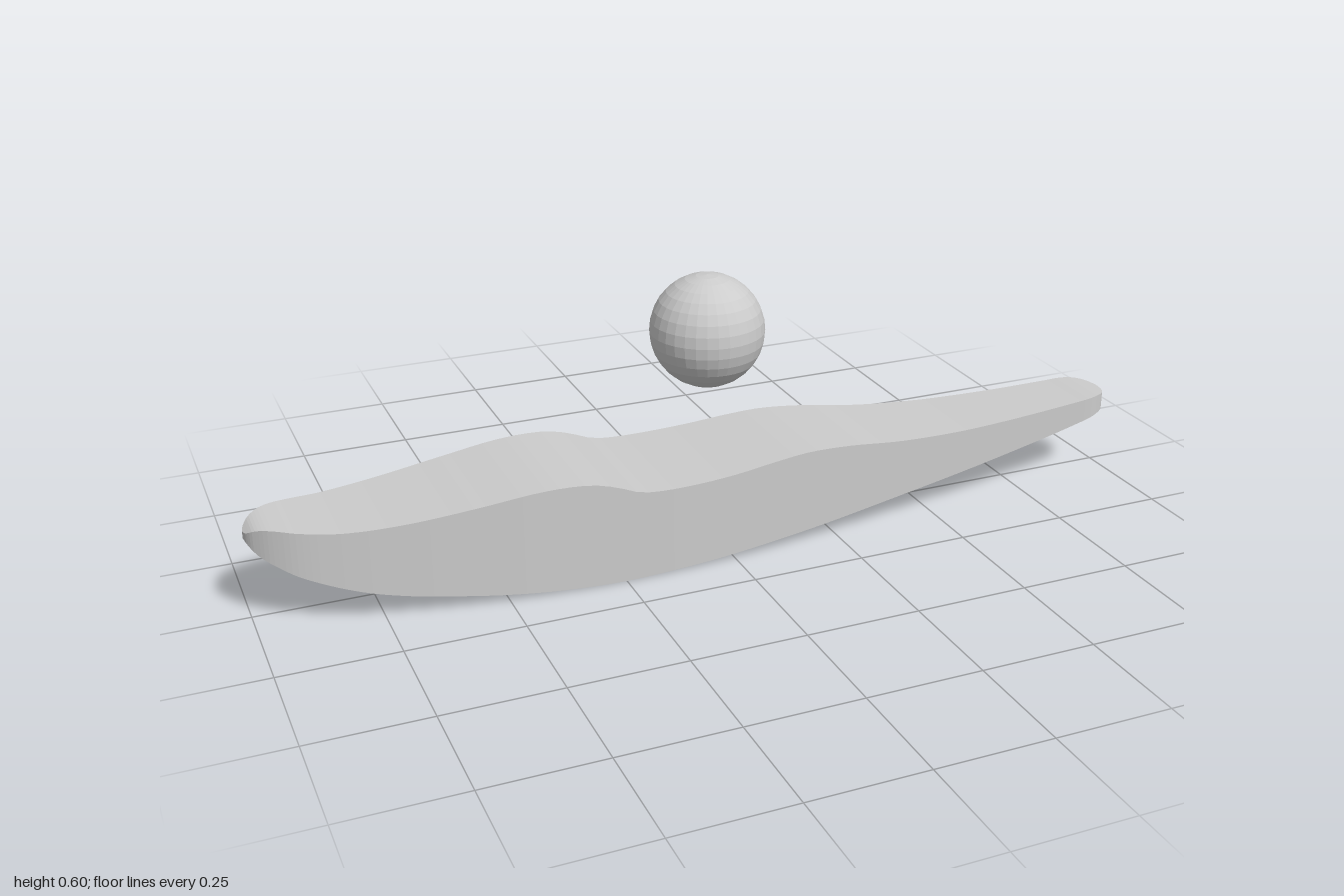
import * as THREE from 'three';

// Profiles along the length, as [x, value]
const deckHeight = [[-1, .193], [-.98, .207], [-.95, .212], [-.9, .207], [-.82, .201], [-.7, .206], [-.55, .222], [-.45, .234],
  [-.38, .237], [-.32, .233], [-.27, .22], [-.22, .2], [-.18, .194], [-.1, .193], [0, .198], [.1, .208], [.18, .213],
  [.28, .207], [.4, .192], [.5, .185], [.6, .182], [.75, .184], [.9, .19], [.96, .193], [1, .19]];
const keelHeight = [[-1, .178], [-.98, .155], [-.95, .135], [-.9, .108], [-.8, .07], [-.7, .046], [-.6, .03], [-.5, .016],
  [-.4, .006], [-.27, 0], [-.15, .003], [0, .012], [.2, .03], [.4, .055], [.6, .083], [.8, .115], [.9, .134], [1, .155]];
const halfWidth = [[-1, 0], [-.997, .015], [-.985, .034], [-.95, .062], [-.9, .085], [-.8, .108], [-.7, .123], [-.6, .134],
  [-.5, .142], [-.4, .147], [-.3, .15], [-.2, .151], [-.1, .15], [0, .146], [.2, .131], [.4, .114], [.6, .098], [.8, .081],
  [.9, .073], [.94, .069], [.97, .058], [.985, .046], [.996, .025], [1, 0]];

// Smooth cubic interpolation through a profile
function sample(points, x) {
  const last = points.length - 1;
  let i = 0;
  while (i < last - 1 && x > points[i + 1][0]) i++;
  const slope = (k) => {
    const a = points[Math.max(k - 1, 0)], b = points[Math.min(k + 1, last)];
    return (b[1] - a[1]) / (b[0] - a[0]);
  };
  const [x0, y0] = points[i], [x1, y1] = points[i + 1];
  const h = x1 - x0, t = (x - x0) / h, t2 = t * t, t3 = t2 * t;
  return (2 * t3 - 3 * t2 + 1) * y0 + (t3 - 2 * t2 + t) * h * slope(i)
    + (3 * t2 - 2 * t3) * y1 + (t3 - t2) * h * slope(i + 1);
}

// Four-cornered cross-sections, closer together near both tips
function hullGeometry(stations) {
  const positions = [], index = [];
  for (let i = 0; i <= stations; i++) {
    const x = -Math.cos((i / stations) * Math.PI);
    const w = Math.max(0, sample(halfWidth, x));
    const low = sample(keelHeight, x), high = sample(deckHeight, x);
    positions.push(x, low, w, x, low, -w, x, high, -w, x, high, w);
  }
  for (let i = 0; i < stations; i++) {
    for (let j = 0; j < 4; j++) {
      const a = i * 4 + j, b = i * 4 + (j + 1) % 4;
      index.push(a, b, a + 4, b, b + 4, a + 4);
    }
  }
  const geometry = new THREE.BufferGeometry();
  geometry.setAttribute('position', new THREE.Float32BufferAttribute(positions, 3));
  geometry.setIndex(index);
  const flat = geometry.toNonIndexed();
  flat.computeVertexNormals();
  return flat;
}

export function createModel() {
  const model = new THREE.Group();
  const material = new THREE.MeshStandardMaterial({ color: 0xcccccc, flatShading: true });

  // Long tapering body with a wavy upper surface
  const body = new THREE.Mesh(hullGeometry(110), material);
  body.name = 'body';

  // Ball floating above the middle
  const ball = new THREE.Mesh(new THREE.SphereGeometry(.123, 32, 16), material);
  ball.name = 'ball';
  ball.position.set(-.002, .472, -.006);

  model.add(body, ball);
  return model;
}
